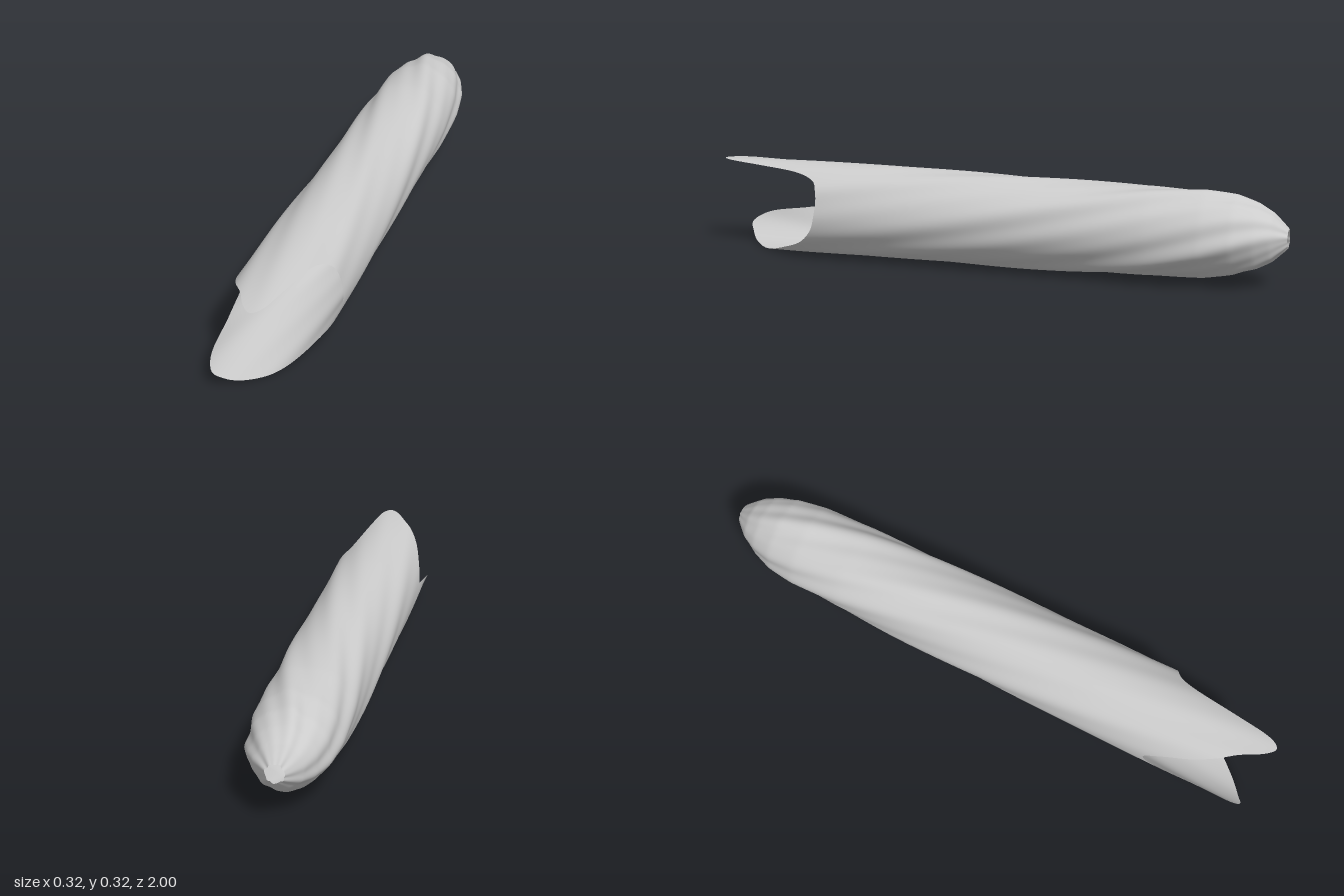
import * as THREE from 'three';

const RAD = Math.PI / 180;

// Front rim: [angle around the axis in degrees, z of the rim], two tongues and two notches
const RIM = [
  [83, 1.0], [95, 0.975], [110, 0.9], [125, 0.84], [140, 0.77], [156, 0.68], [174, 0.62], [186, 0.645],
  [195, 0.76], [203, 0.9], [217, 0.97], [235, 0.955], [257, 0.91], [280, 0.84], [300, 0.76], [318, 0.68],
  [340, 0.62], [0, 0.6], [30, 0.6], [48, 0.63], [58, 0.7], [67, 0.85], [74, 0.96],
];

// Radius along the sleeve: [z, radius], from the small rear hole to the open front
const PROFILE = [
  [-1, 0.03], [-0.985, 0.045], [-0.95, 0.077], [-0.9, 0.104], [-0.83, 0.127], [-0.73, 0.142],
  [-0.55, 0.15], [-0.2, 0.152], [0.1, 0.156], [0.4, 0.16], [0.7, 0.161], [1, 0.161],
];

function radiusAt(z) {
  let i = 0;
  while (i < PROFILE.length - 2 && z > PROFILE[i + 1][0]) i++;
  const [z0, r0] = PROFILE[i], [z1, r1] = PROFILE[i + 1];
  return r0 + (r1 - r0) * THREE.MathUtils.clamp((z - z0) / (z1 - z0), 0, 1);
}

// Helical folds, tighter and deeper toward the rear
function foldAt(angle, z) {
  const back = (1 - z) / 2;
  const a = angle + 0.9 * z - 0.9 * back * back * back;
  const depth = 0.0022 + 0.0055 * Math.pow(back, 1.2);
  const fade = THREE.MathUtils.smoothstep(z, -1.02, -0.8);
  const wave = 0.55 * Math.sin(7 * a) + 0.35 * Math.sin(4 * a + 1.3) + 0.3 * Math.sin(11 * a + 0.6 + 2 * z);
  return depth * (0.35 + 0.65 * fade) * wave;
}

function sleeveGeometry(columns = 184, rows = 110) {
  const rim = new THREE.CatmullRomCurve3(
    RIM.map(([deg, z]) => new THREE.Vector3(Math.cos(deg * RAD), Math.sin(deg * RAD), z)), true);
  const positions = [], indices = [];
  for (let j = 0; j <= rows; j++) {
    const s = Math.pow(j / rows, 1.6);
    for (let i = 0; i < columns; i++) {
      const p = rim.getPoint(i / columns);
      const angle = Math.atan2(p.y, p.x);
      const z = -1 + s * (Math.min(p.z, 1) + 1);
      const r = radiusAt(z) + foldAt(angle, z);
      const cy = 0.166 + 0.008 * THREE.MathUtils.smoothstep(-z, 0.3, 1);
      positions.push(r * Math.cos(angle), cy + r * Math.sin(angle), z);
      if (j < rows) {
        const n = (i + 1) % columns;
        const a = j * columns + i, b = j * columns + n;
        indices.push(a, b, a + columns, b, b + columns, a + columns);
      }
    }
  }
  const geometry = new THREE.BufferGeometry();
  geometry.setAttribute('position', new THREE.Float32BufferAttribute(positions, 3));
  geometry.setIndex(indices);
  geometry.computeVertexNormals();
  return geometry;
}

export function createModel() {
  const group = new THREE.Group();
  group.name = 'twistedSleeve';
  const material = new THREE.MeshStandardMaterial({ color: 0xcccccc, side: THREE.DoubleSide });
  const sleeve = new THREE.Mesh(sleeveGeometry(), material);
  sleeve.name = 'sleeve';
  group.add(sleeve);
  return group;
}
